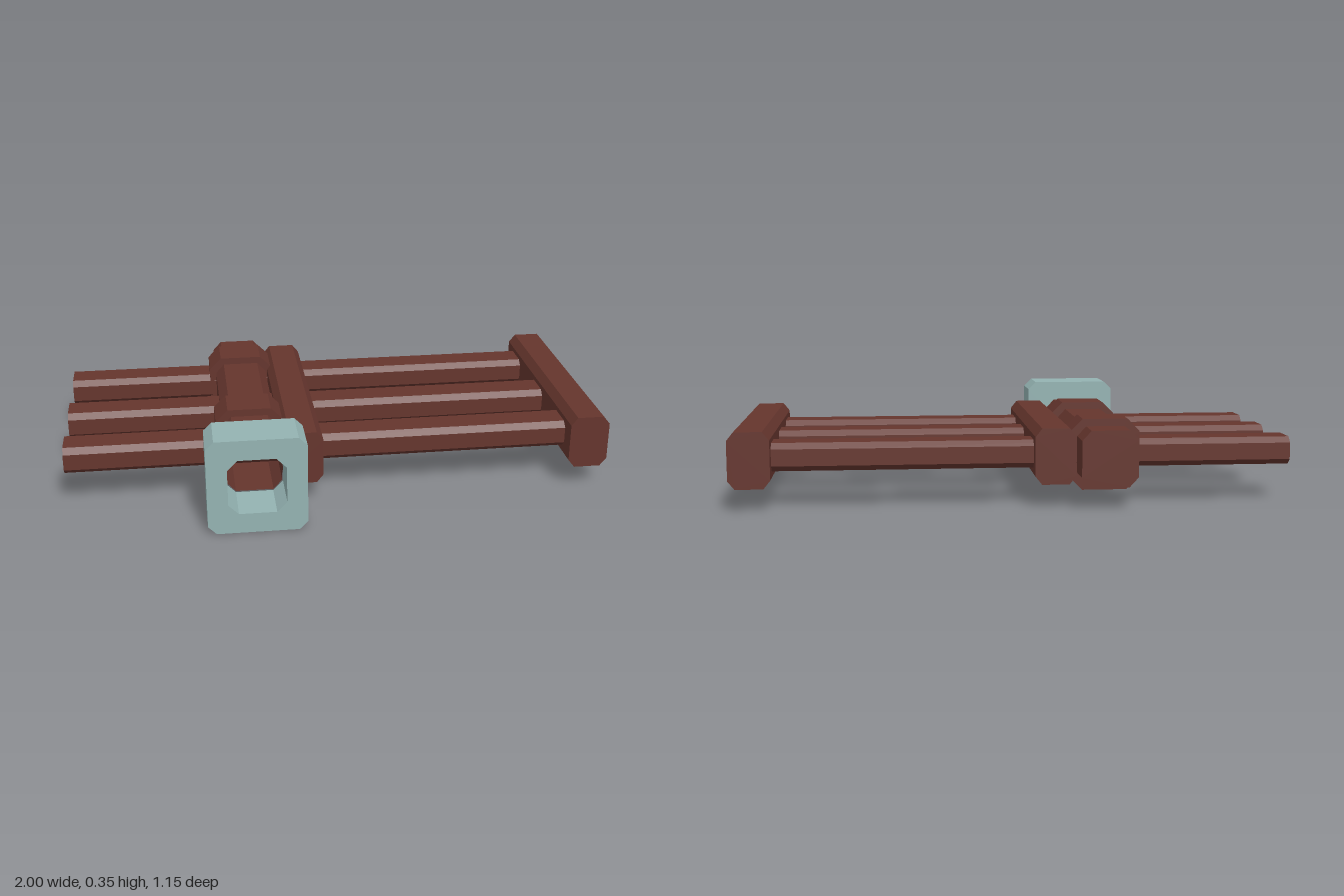
import * as THREE from 'three';

// Chamfered rectangle centred on the origin
function octagon(w, h, cx, cy, Type = THREE.Shape) {
  const x = w / 2, y = h / 2;
  return new Type([
    [x - cx, -y], [x, -y + cy], [x, y - cy], [x - cx, y],
    [-x + cx, y], [-x, y - cy], [-x, -y + cy], [-x + cx, -y],
  ].map(([a, b]) => new THREE.Vector2(a, b)));
}

// Prism along z from z0 to z1
function solid(shape, z0, z1) {
  return new THREE.ExtrudeGeometry(shape, { depth: z1 - z0, bevelEnabled: false }).translate(0, 0, z0);
}

// The same prism as an open tube: only the side walls are kept
function openTube(shape, z0, z1) {
  const full = solid(shape, z0, z1);
  const { start, count } = full.groups[1];
  const geo = new THREE.BufferGeometry();
  for (const key of ['position', 'normal']) {
    const data = full.attributes[key].array.slice(start * 3, (start + count) * 3);
    geo.setAttribute(key, new THREE.BufferAttribute(data, 3));
  }
  return geo;
}

export function createModel() {
  const model = new THREE.Group();
  model.name = 'slidingLatch';
  const wood = new THREE.MeshStandardMaterial({ color: 0x65352d, side: THREE.DoubleSide, flatShading: true });
  wood.name = 'darkRedWood';
  const metal = new THREE.MeshStandardMaterial({ color: 0x94b3b2, side: THREE.DoubleSide, flatShading: true });
  metal.name = 'paleTealMetal';

  const add = (name, geo, mat, x, y, z = 0) => {
    const mesh = new THREE.Mesh(geo, mat);
    mesh.name = name;
    mesh.position.set(x, y, z);
    model.add(mesh);
    return mesh;
  };

  // Three long rails, open at the ends
  const railShape = octagon(0.142, 0.1, 0.022, 0.02);
  [-0.385, -0.06, 0.243].forEach((z, i) => {
    const geo = openTube(railShape, -1, 0.9).rotateY(Math.PI / 2);
    add('rail' + (i + 1), geo, wood, 0, 0.182, z);
  });

  // Two cross beams tying the rails together
  const beamShape = octagon(0.146, 0.2, 0.024, 0.03);
  add('middleBeam', solid(beamShape, -0.5, 0.38), wood, -0.142, 0.18);
  add('endBeam', solid(beamShape, -0.5, 0.38), wood, 0.925, 0.18);

  // Hollow handle bar: open at the front, closed at the back
  const barX = -0.323;
  const barShape = octagon(0.2, 0.2, 0.032, 0.035);
  add('handleBar', openTube(barShape, -0.575, 0.412), wood, barX, 0.18);
  add('handleBarEnd', new THREE.ShapeGeometry(barShape).rotateY(Math.PI), wood, barX, 0.18, -0.575);

  // Collars clasping the handle bar
  const collarShape = octagon(0.25, 0.255, 0.045, 0.045);
  collarShape.holes.push(octagon(0.198, 0.198, 0.032, 0.035, THREE.Path));
  for (const z of [-0.385, 0.136]) add('collar', solid(collarShape, -0.07, 0.07), wood, barX, 0.179, z);

  // Square ring on the front of the bar
  const ringShape = octagon(0.352, 0.355, 0.03, 0.03);
  ringShape.holes.push(octagon(0.206, 0.206, 0.036, 0.036, THREE.Path));
  add('frontRing', solid(ringShape, 0.41, 0.575), metal, barX, 0.1775);

  return model;
}
